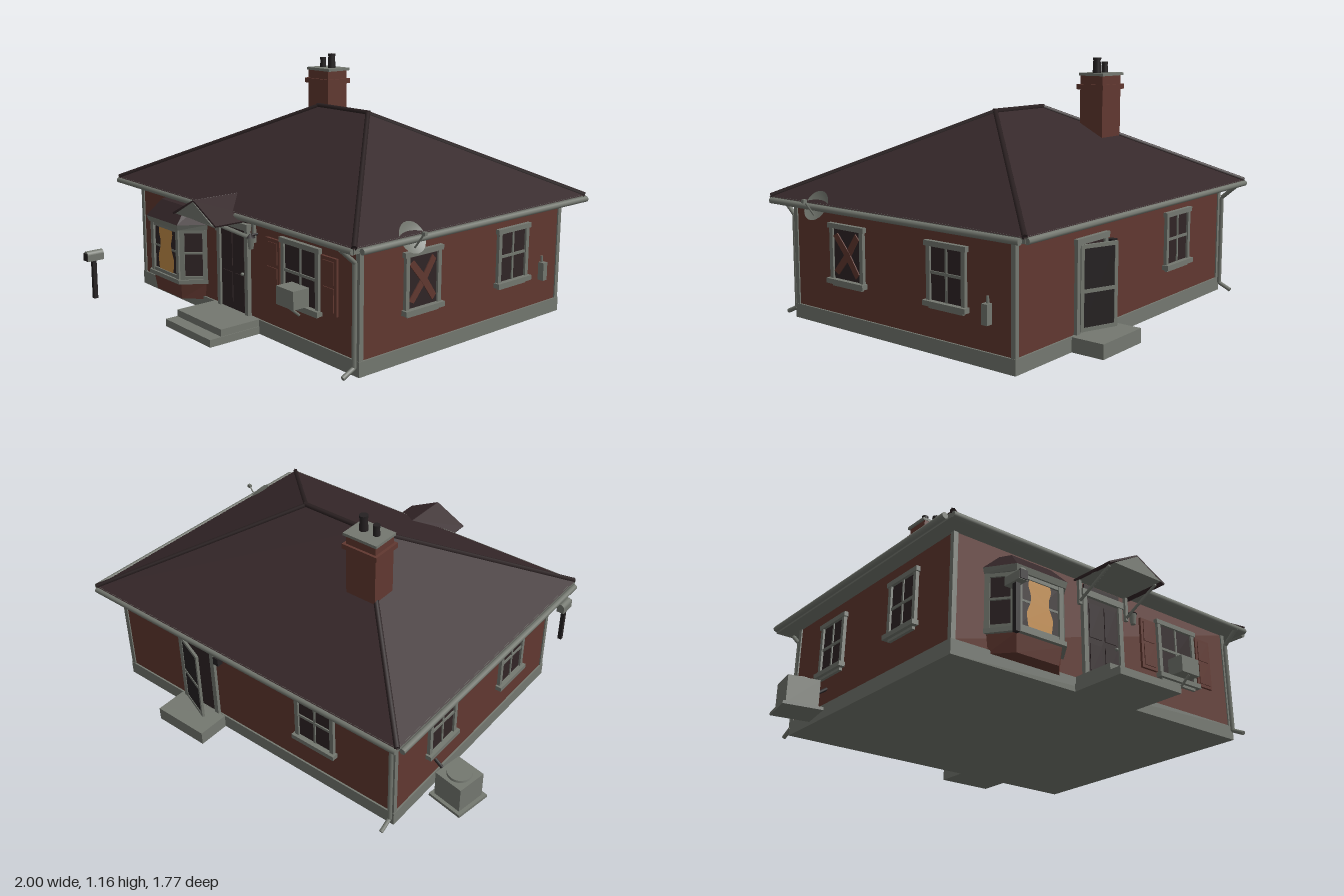
import * as THREE from 'three';

const paint = (name, color) => Object.assign(new THREE.MeshStandardMaterial({ color }), { name });
const V = (x, y, z) => new THREE.Vector3(x, y, z);

export function createModel() {
  const model = new THREE.Group();
  model.name = 'cottage';
  const brick = paint('brick', 0x613830);
  const trim = paint('grey trim', 0x747870);
  const tiles = paint('roof tiles', 0x352729);
  const caps = paint('ridge tiles', 0x2a2021);
  const glass = paint('dark glass', 0x302526);
  const black = paint('black iron', 0x252122);
  const glow = paint('lit window', 0xc48d48);

  const add = (name, geo, mat, parent = model) => {
    const m = new THREE.Mesh(geo, mat);
    m.name = name;
    parent.add(m);
    return m;
  };
  const box = (name, mat, x0, x1, y0, y1, z0, z1, parent = model) => {
    const m = add(name, new THREE.BoxGeometry(x1 - x0, y1 - y0, z1 - z0), mat, parent);
    m.position.set((x0 + x1) / 2, (y0 + y1) / 2, (z0 + z1) / 2);
    return m;
  };
  // Round or square bar between two points
  const bar = (name, mat, a, b, r, sides = 8, parent = model) => {
    const m = add(name, new THREE.CylinderGeometry(r, r, a.distanceTo(b), sides), mat, parent);
    m.position.copy(a).lerp(b, 0.5);
    m.quaternion.setFromUnitVectors(V(0, 1, 0), b.clone().sub(a).normalize());
    return m;
  };
  // Solid between two horizontal outlines of [x, z] points
  const loft = (name, mat, low, y0, high, y1) => {
    const p = [], n = low.length;
    const A = i => [low[i % n][0], y0, low[i % n][1]];
    const B = i => [high[i % n][0], y1, high[i % n][1]];
    for (let i = 0; i < n; i++) p.push(...A(i), ...A(i + 1), ...B(i + 1), ...A(i), ...B(i + 1), ...B(i));
    for (let i = 1; i < n - 1; i++) p.push(...B(0), ...B(i), ...B(i + 1), ...A(0), ...A(i + 1), ...A(i));
    const g = new THREE.BufferGeometry();
    g.setAttribute('position', new THREE.Float32BufferAttribute(p, 3));
    g.computeVertexNormals();
    return add(name, g, mat);
  };
  const rect = (x0, x1, z0, z1) => [[x0, z1], [x1, z1], [x1, z0], [x0, z0]];
  const place = (name, x, z, turn) => {
    const g = new THREE.Group();
    g.name = name;
    g.position.set(x, 0, z);
    g.rotation.y = turn;
    model.add(g);
    return g;
  };

  // Walls, foundation and corner boards
  box('foundation', trim, -0.768, 0.868, 0, 0.065, -0.733, 0.533);
  box('walls', brick, -0.76, 0.86, 0.065, 0.535, -0.725, 0.525);
  for (const x of [-0.755, 0.855]) for (const z of [-0.72, 0.52])
    box('cornerBoard', trim, x - 0.011, x + 0.011, 0.065, 0.535, z - 0.011, z + 0.011);

  // Hip roof, eaves and gutters
  box('eaves', trim, -0.835, 0.925, 0.53, 0.556, -0.82, 0.615);
  loft('roof', tiles, rect(-0.84, 0.93, -0.825, 0.62), 0.553, rect(-0.13, 0.22, -0.104, -0.104), 0.925);
  bar('ridgeCap', caps, V(-0.14, 0.925, -0.104), V(0.23, 0.925, -0.104), 0.013, 6);
  for (const [x, rx] of [[-0.835, -0.13], [0.925, 0.22]]) for (const z of [-0.82, 0.615])
    bar('hipCap', caps, V(x, 0.556, z), V(rx, 0.924, -0.104), 0.012, 6);
  for (const x of [-0.852, 0.942]) bar('sideGutter', trim, V(x, 0.54, -0.81), V(x, 0.54, 0.59), 0.014);
  bar('backGutter', trim, V(-0.835, 0.54, -0.825), V(0.92, 0.54, -0.825), 0.014);
  bar('frontGutterLeft', trim, V(0.17, 0.54, 0.617), V(0.92, 0.54, 0.617), 0.014);
  bar('frontGutterRight', trim, V(-0.835, 0.54, 0.617), V(-0.08, 0.54, 0.617), 0.014);

  // Downpipes
  for (const [x, s, wall] of [[0.852, 1, 0.545], [-0.755, -1, -0.745]]) {
    const zs = [[0.535, 0.075], [0.47, 0], [0.04, 0], [0.012, 0.06]];
    for (let i = 0; i < 3; i++)
      bar('downpipe', trim, V(x, zs[i][0], wall + s * zs[i][1]), V(x, zs[i + 1][0], wall + s * zs[i + 1][1]), 0.01);
  }

  // Chimney
  box('chimney', brick, -0.39, -0.235, 0.6, 1.075, -0.378, -0.252);
  box('chimneyBand', brick, -0.403, -0.222, 1.008, 1.032, -0.39, -0.24);
  box('chimneySlab', trim, -0.4, -0.225, 1.073, 1.086, -0.387, -0.25);
  for (const [x, h, r] of [[-0.347, 0.05, 0.016], [-0.28, 0.072, 0.02]]) {
    add('chimneyPot', new THREE.CylinderGeometry(r * 0.85, r, h, 12), black).position.set(x, 1.085 + h / 2, -0.315);
    add('potRim', new THREE.CylinderGeometry(r, r, 0.012, 12), black).position.set(x, 1.08 + h, -0.315);
  }

  // Sash window facing local +z
  const sash = (x, z, turn, w, y0, y1, cross = true) => {
    const g = place('window', x, z, turn), h = w / 2, mid = (y0 + y1) / 2 + 0.01;
    box('pane', glass, -h + 0.01, h - 0.01, y0 + 0.02, y1 - 0.01, 0, 0.006, g);
    for (const s of [-1, 1]) box('jamb', trim, s * (h - 0.01) - 0.01, s * (h - 0.01) + 0.01, y0 + 0.02, y1 - 0.01, 0, 0.016, g);
    box('head', trim, -h - 0.008, h + 0.008, y1 - 0.022, y1, 0, 0.02, g);
    box('sill', trim, -h - 0.01, h + 0.01, y0 + 0.012, y0 + 0.034, 0, 0.03, g);
    box('sillApron', trim, -h + 0.012, h - 0.012, y0, y0 + 0.014, 0, 0.014, g);
    if (cross) {
      box('mullion', trim, -0.005, 0.005, y0 + 0.03, y1 - 0.02, 0, 0.011, g);
      box('transom', trim, -h + 0.01, h - 0.01, mid - 0.006, mid + 0.006, 0, 0.012, g);
    }
    return g;
  };
  sash(0.505, 0.525, 0, 0.245, 0.18, 0.477);
  sash(-0.34, -0.725, Math.PI, 0.215, 0.19, 0.467);
  sash(0.86, -0.386, Math.PI / 2, 0.205, 0.19, 0.467);
  for (const z of [-0.386, 0.184]) sash(-0.76, z, -Math.PI / 2, 0.205, 0.19, 0.467);
  // Window boarded with a tapered cross
  const boarded = sash(0.86, 0.184, Math.PI / 2, 0.205, 0.19, 0.467, false);
  for (const s of [-1, 1]) {
    const shape = new THREE.Shape([[-0.016, -0.11], [0.014, -0.105], [0.02, 0], [0.012, 0.105], [-0.018, 0.11], [-0.012, 0]]
      .map(([x, y]) => new THREE.Vector2(x, y)));
    const plank = add('plank', new THREE.ExtrudeGeometry(shape, { depth: 0.005, bevelEnabled: false }), brick, boarded);
    plank.position.set(0, 0.335, s > 0 ? 0.008 : 0.006);
    plank.rotation.z = s * 0.66;
  }

  // Shutters and window air conditioner
  for (const x of [0.322, 0.688]) {
    box('shutter', brick, x - 0.048, x + 0.048, 0.215, 0.455, 0.525, 0.537);
    for (const [a, b] of [[0.23, 0.33], [0.345, 0.44]]) box('shutterPanel', brick, x - 0.034, x + 0.034, a, b, 0.53, 0.541);
  }
  box('windowCooler', trim, 0.447, 0.56, 0.215, 0.295, 0.53, 0.615);
  bar('coolerBracket', trim, V(0.505, 0.165, 0.54), V(0.505, 0.215, 0.6), 0.006, 6);

  // Front door, steps and lantern
  box('lowerStep', trim, -0.135, 0.218, 0, 0.034, 0.5, 0.795);
  box('upperStep', trim, -0.13, 0.214, 0.034, 0.066, 0.5, 0.735);
  box('door', glass, -0.062, 0.13, 0.066, 0.455, 0.525, 0.534);
  for (const [y0, y1] of [[0.1, 0.24], [0.27, 0.43]]) for (const x of [-0.045, 0.045])
    box('doorPanel', glass, x, x + 0.07, y0, y1, 0.53, 0.538);
  for (const x of [-0.085, 0.128]) box('doorJamb', trim, x, x + 0.023, 0.066, 0.48, 0.525, 0.545);
  box('doorHead', trim, -0.09, 0.156, 0.455, 0.485, 0.525, 0.55);
  box('transomGlass', glass, -0.07, 0.14, 0.487, 0.515, 0.525, 0.535);
  add('doorKnob', new THREE.SphereGeometry(0.008, 10, 8), trim).position.set(0.108, 0.25, 0.542);
  bar('lanternArm', black, V(0.2, 0.45, 0.525), V(0.2, 0.45, 0.56), 0.006);
  add('lantern', new THREE.CylinderGeometry(0.018, 0.012, 0.05, 6), trim).position.set(0.2, 0.415, 0.56);
  add('lanternCap', new THREE.ConeGeometry(0.022, 0.02, 6), black).position.set(0.2, 0.45, 0.56);

  // Gabled porch canopy with braces
  const gable = new THREE.Shape([[-0.14, 0], [0.14, 0], [0, 0.075]].map(([x, y]) => new THREE.Vector2(x, y)));
  add('canopyGable', new THREE.ExtrudeGeometry(gable, { depth: 0.23, bevelEnabled: false }), trim).position.set(0.045, 0.523, 0.522);
  const slope = Math.atan2(0.083, 0.165);
  for (const s of [-1, 1]) {
    const slab = add('canopySlope', new THREE.BoxGeometry(0.185, 0.008, 0.235), tiles);
    slab.position.set(0.045 + s * 0.0825, 0.561, 0.632);
    slab.rotation.z = -s * slope;
    const x = 0.045 + s * 0.14;
    bar('canopyBrace', trim, V(x, 0.425, 0.535), V(x, 0.522, 0.72), 0.009, 4);
    box('canopyWallPost', trim, x - 0.008, x + 0.008, 0.41, 0.525, 0.525, 0.54);
  }

  // Bay window
  const bay = (x0, x1, z1, cut) => [[x0, 0.52], [x0 + cut, z1], [x1 - cut, z1], [x1, 0.52]];
  const body = bay(-0.598, -0.2, 0.618, 0.08);
  loft('bayBase', brick, bay(-0.588, -0.21, 0.608, 0.08), 0.05, body, 0.13);
  loft('baySill', trim, bay(-0.612, -0.186, 0.637, 0.084), 0.13, bay(-0.612, -0.186, 0.637, 0.084), 0.15);
  loft('bayGlass', glass, body, 0.15, body, 0.395);
  loft('bayCornice', trim, bay(-0.612, -0.186, 0.635, 0.084), 0.39, bay(-0.618, -0.18, 0.642, 0.084), 0.417);
  loft('bayRoof', tiles, bay(-0.618, -0.18, 0.642, 0.084), 0.417, bay(-0.535, -0.263, 0.572, 0.03), 0.492);
  for (let i = 0; i < 3; i++) {
    const [a, b] = [body[i], body[i + 1]];
    const w = Math.hypot(b[0] - a[0], b[1] - a[1]) / 2;
    const g = place('bayFacet', (a[0] + b[0]) / 2, (a[1] + b[1]) / 2, -Math.atan2(b[1] - a[1], b[0] - a[0]));
    for (const s of [-1, 1]) box('bayPost', trim, s * (w - 0.01) - 0.011, s * (w - 0.01) + 0.011, 0.15, 0.39, 0, 0.012, g);
    for (const [y, h] of [[0.158, 0.008], [0.277, 0.005], [0.382, 0.008]])
      box('bayRail', trim, -w, w, y - h, y + h, 0, i === 1 && h < 0.008 ? 0.002 : 0.009, g);
    if (i === 1) {
      // Light between the drawn curtains
      const side = new THREE.SplineCurve([[0.058, 0.152], [0.066, 0.2], [0.068, 0.23], [0.05, 0.275], [0.048, 0.31], [0.06, 0.35], [0.054, 0.378]]
        .map(([x, y]) => new THREE.Vector2(x, y))).getPoints(24);
      const outline = side.concat(side.map(p => new THREE.Vector2(-p.x, p.y)).reverse());
      add('curtainGap', new THREE.ShapeGeometry(new THREE.Shape(outline)), glow, g).position.z = 0.004;
    }
  }

  // Back door with a screen door standing ajar
  box('backStep', trim, 0.22, 0.502, 0, 0.064, -0.886, -0.72);
  const back = place('backDoor', 0.365, -0.725, Math.PI);
  box('backDoorLeaf', glass, -0.09, 0.09, 0.066, 0.44, 0, 0.006, back);
  for (const s of [-1, 1]) box('backJamb', trim, s * 0.1 - 0.012, s * 0.1 + 0.012, 0.066, 0.455, 0, 0.016, back);
  box('backHead', trim, -0.117, 0.117, 0.437, 0.462, 0, 0.02, back);
  const screen = new THREE.Group();
  screen.name = 'screenDoor';
  screen.position.set(-0.092, 0, 0.016);
  screen.rotation.y = -0.36;
  back.add(screen);
  box('screenMesh', black, 0.01, 0.175, 0.085, 0.43, -0.003, 0.003, screen);
  for (const x of [0, 0.168]) box('screenStile', trim, x, x + 0.016, 0.075, 0.436, -0.006, 0.006, screen);
  for (const y of [0.075, 0.235, 0.42]) box('screenRail', trim, 0, 0.184, y, y + 0.016, -0.006, 0.006, screen);
  box('backLamp', black, 0.208, 0.238, 0.385, 0.425, -0.755, -0.72);

  // Meter box on the side wall
  box('meterBox', trim, 0.86, 0.89, 0.178, 0.262, -0.612, -0.584);
  bar('meterPipe', trim, V(0.868, 0.262, -0.598), V(0.868, 0.29, -0.598), 0.006);

  // Outdoor cooling unit on its pad
  const unit = place('coolingUnit', -0.893, -0.427, -0.165);
  box('unitPad', trim, -0.09, 0.09, 0, 0.014, -0.09, 0.09, unit);
  box('unitCase', trim, -0.073, 0.073, 0.014, 0.14, -0.073, 0.073, unit);
  add('unitFan', new THREE.CylinderGeometry(0.055, 0.058, 0.012, 20), trim, unit).position.y = 0.144;
  bar('unitPipe', black, V(-0.83, 0.09, -0.42), V(-0.76, 0.14, -0.42), 0.008);

  // Mailbox
  box('mailPost', black, -0.714, -0.694, 0, 0.195, 0.835, 0.855);
  box('mailBox', trim, -0.724, -0.684, 0.193, 0.225, 0.8, 0.885);
  const lid = add('mailLid', new THREE.CylinderGeometry(0.02, 0.02, 0.085, 14), trim);
  lid.position.set(-0.704, 0.222, 0.8425);
  lid.rotation.x = Math.PI / 2;
  box('mailDoor', black, -0.722, -0.686, 0.195, 0.232, 0.884, 0.889);

  // Satellite dish on the eave
  const profile = [0, 0.02, 0.04, 0.056, 0.068].map(r => new THREE.Vector2(r, r * r * 2.6));
  const dishMat = trim.clone();
  dishMat.name = 'dish grey';
  dishMat.side = THREE.DoubleSide;
  const dish = add('dish', new THREE.LatheGeometry(profile, 24), dishMat);
  dish.position.set(0.916, 0.54, 0.308);
  dish.quaternion.setFromUnitVectors(V(0, 1, 0), V(0.87, 0.5, 0).normalize());
  bar('dishArm', trim, V(0.935, 0.5, 0.308), V(0.99, 0.572, 0.308), 0.004, 6);
  box('dishReceiver', trim, 0.982, 1, 0.565, 0.58, 0.3, 0.316);
  bar('dishMount', black, V(0.9, 0.545, 0.308), V(0.918, 0.545, 0.308), 0.009);

  return model;
}
